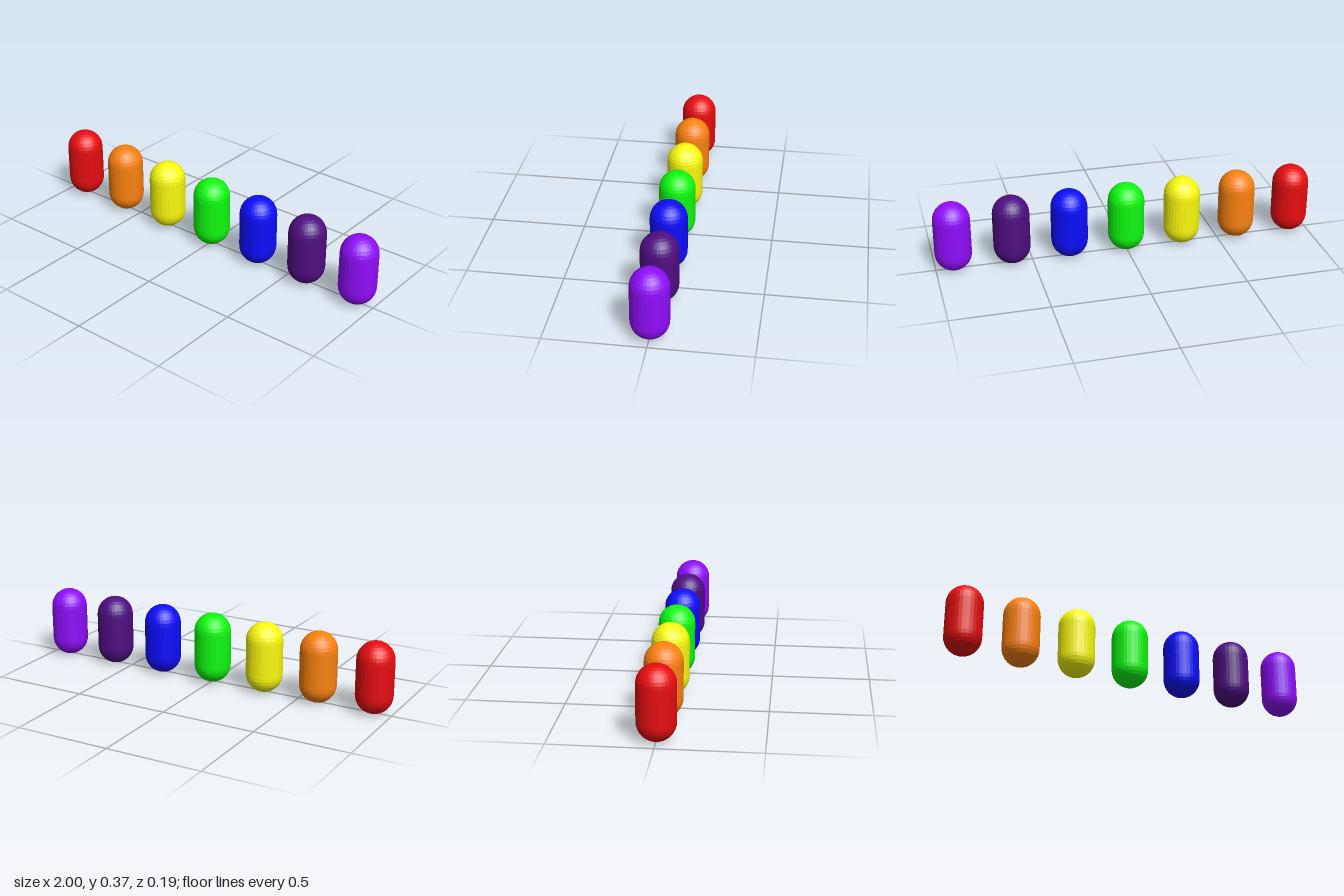
import * as THREE from 'three';

const RADIUS = 0.095;
const HEIGHT = 0.371;
const SPACING = 0.3017;

// Row order, from -x to +x
const CAPSULES = [
  ['redCapsule', 0xe60d10],
  ['orangeCapsule', 0xfa820f],
  ['yellowCapsule', 0xfafa0f],
  ['greenCapsule', 0x0ffa0f],
  ['blueCapsule', 0x0d0dfa],
  ['indigoCapsule', 0x4f0d82],
  ['violetCapsule', 0x8f0dfa],
];

export function createModel() {
  const group = new THREE.Group();
  group.name = 'capsuleRow';

  // One faceted upright capsule shared by the whole row
  const geometry = new THREE.CapsuleGeometry(RADIUS, HEIGHT - 2 * RADIUS, 8, 32);

  CAPSULES.forEach(([name, color], i) => {
    const material = new THREE.MeshStandardMaterial({ color, flatShading: true });
    const capsule = new THREE.Mesh(geometry, material);
    capsule.name = name;
    capsule.position.set((i - (CAPSULES.length - 1) / 2) * SPACING, HEIGHT / 2, 0);
    group.add(capsule);
  });

  return group;
}
